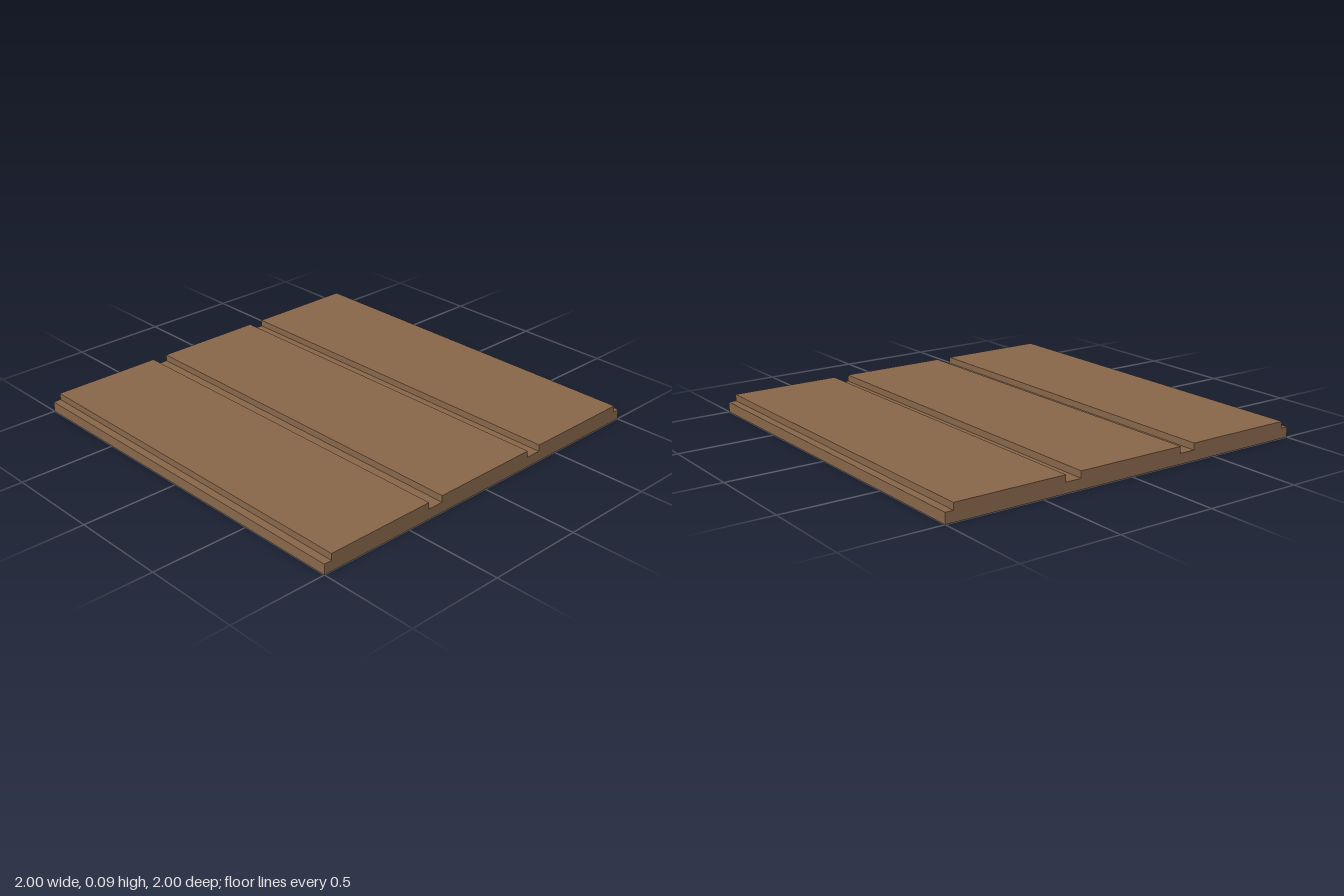
import * as THREE from 'three';

const LENGTH = 2;
const GROOVE_Y = 0.053;
const TOP_Y = 0.087;
// left and right edge of each raised board
const BOARDS = [[-0.96, -0.377], [-0.293, 0.293], [0.377, 0.96]];

export function createModel() {
  const group = new THREE.Group();
  group.name = 'plankPanel';

  const wood = new THREE.MeshStandardMaterial({ color: 0x88664a });
  wood.name = 'brown wood';

  // grooved cross-section, drawn counter-clockwise from the bottom
  const profile = new THREE.Shape();
  profile.moveTo(-1, 0);
  profile.lineTo(1, 0);
  profile.lineTo(1, GROOVE_Y);
  for (const [left, right] of [...BOARDS].reverse()) {
    profile.lineTo(right, GROOVE_Y);
    profile.lineTo(right, TOP_Y);
    profile.lineTo(left, TOP_Y);
    profile.lineTo(left, GROOVE_Y);
  }
  profile.lineTo(-1, GROOVE_Y);
  profile.closePath();

  // one solid panel running front to back
  const geometry = new THREE.ExtrudeGeometry(profile, { depth: LENGTH, bevelEnabled: false });
  geometry.translate(0, 0, -LENGTH / 2);
  const panel = new THREE.Mesh(geometry, wood);
  panel.name = 'groovedPanel';
  group.add(panel);

  return group;
}
